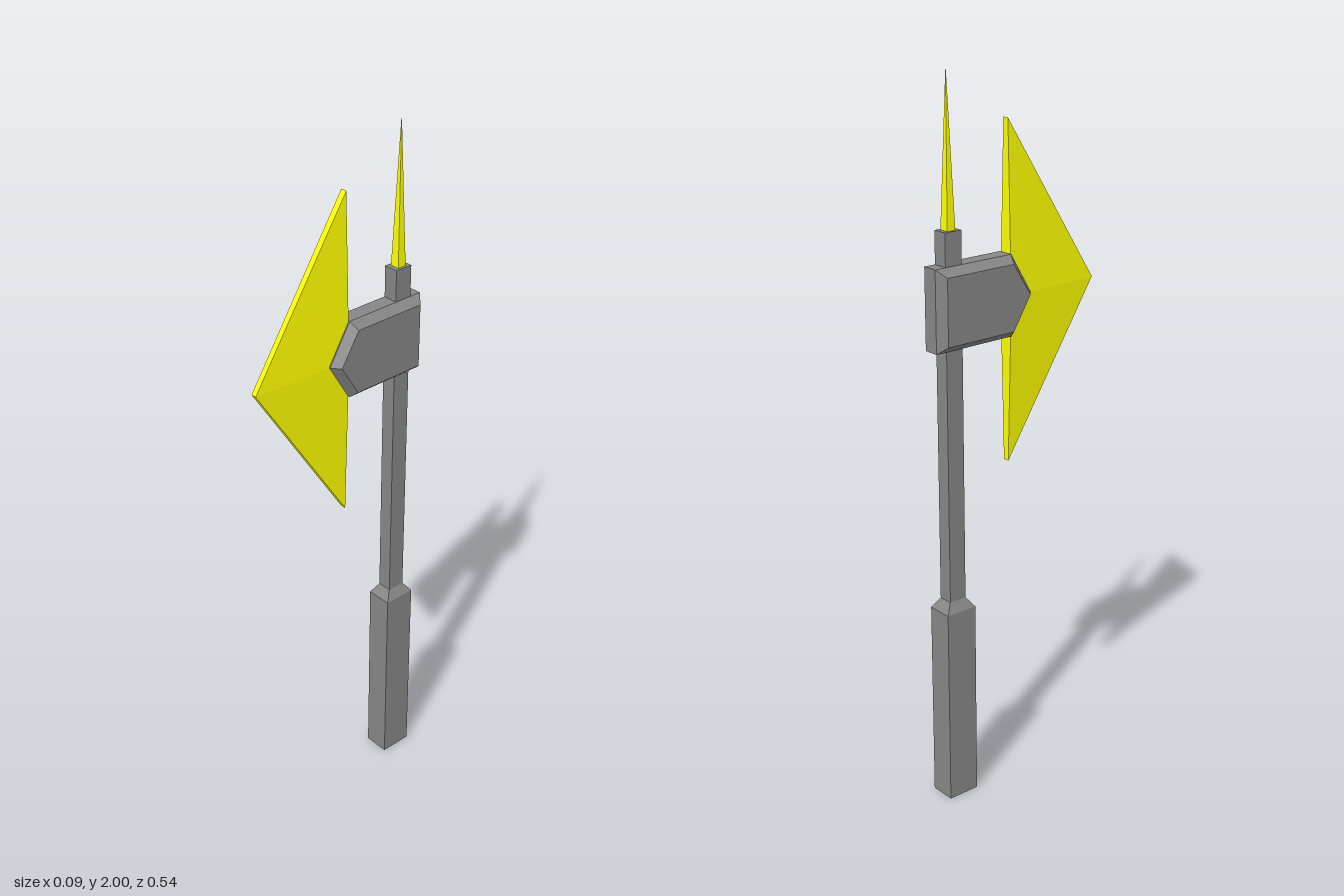
import * as THREE from 'three';
import { ConvexGeometry } from 'three/addons/geometries/ConvexGeometry.js';

const SHAFT_Z = -0.213;

// Flat-shaded convex solid around a list of [x, y, z] points
function solid(name, points, material) {
  const mesh = new THREE.Mesh(new ConvexGeometry(points.map((p) => new THREE.Vector3(...p))), material);
  mesh.name = name;
  return mesh;
}

// Corners of stacked rectangles [y, halfX, halfZ] centred on the shaft axis
function stack(levels) {
  return levels.flatMap(([y, hx, hz]) =>
    [[-1, -1], [1, -1], [1, 1], [-1, 1]].map(([sx, sz]) => [sx * hx, y, SHAFT_Z + sz * hz]));
}

// Side-profile points [halfX, y, z] mirrored to both sides
function mirrored(profile) {
  return profile.flatMap(([x, y, z]) => [[x, y, z], [-x, y, z]]);
}

export function createModel() {
  const grey = new THREE.MeshStandardMaterial({ color: 0x868686, flatShading: true });
  const yellow = new THREE.MeshStandardMaterial({ color: 0xffff00, flatShading: true });
  const group = new THREE.Group();
  group.name = 'axe';

  // Thick grip with a tapered shoulder, and the thin shaft above it
  group.add(solid('grip', stack([[0, 0.037, 0.047], [0.568, 0.037, 0.047], [0.596, 0.021, 0.026]]), grey));
  group.add(solid('shaft', stack([[0.58, 0.021, 0.026], [1.608, 0.021, 0.026]]), grey));

  // Slender spike on top
  group.add(solid('spike', stack([[1.6, 0.014, 0.013], [2, 0.0005, 0.0005]]), yellow));

  // Bevelled, pointed block that holds the blade
  const outline = (x, low, high, back, shoulder, tip) => [
    [x, low, back], [x, high, back], [x, high, shoulder], [x, low, shoulder], [x, 1.41, tip],
  ];
  group.add(solid('head', mirrored([
    ...outline(0.022, 1.3, 1.52, -0.272, -0.026, 0.04),
    ...outline(0.046, 1.32, 1.5, -0.252, -0.036, 0.02),
  ]), grey));

  // Triangular blade, thickest at the middle of its back edge
  group.add(solid('blade', mirrored([
    [0.009, 1.867, -0.025], [0.009, 0.948, -0.025], [0.008, 1.408, 0.272], [0.022, 1.408, -0.025],
  ]), yellow));

  return group;
}
